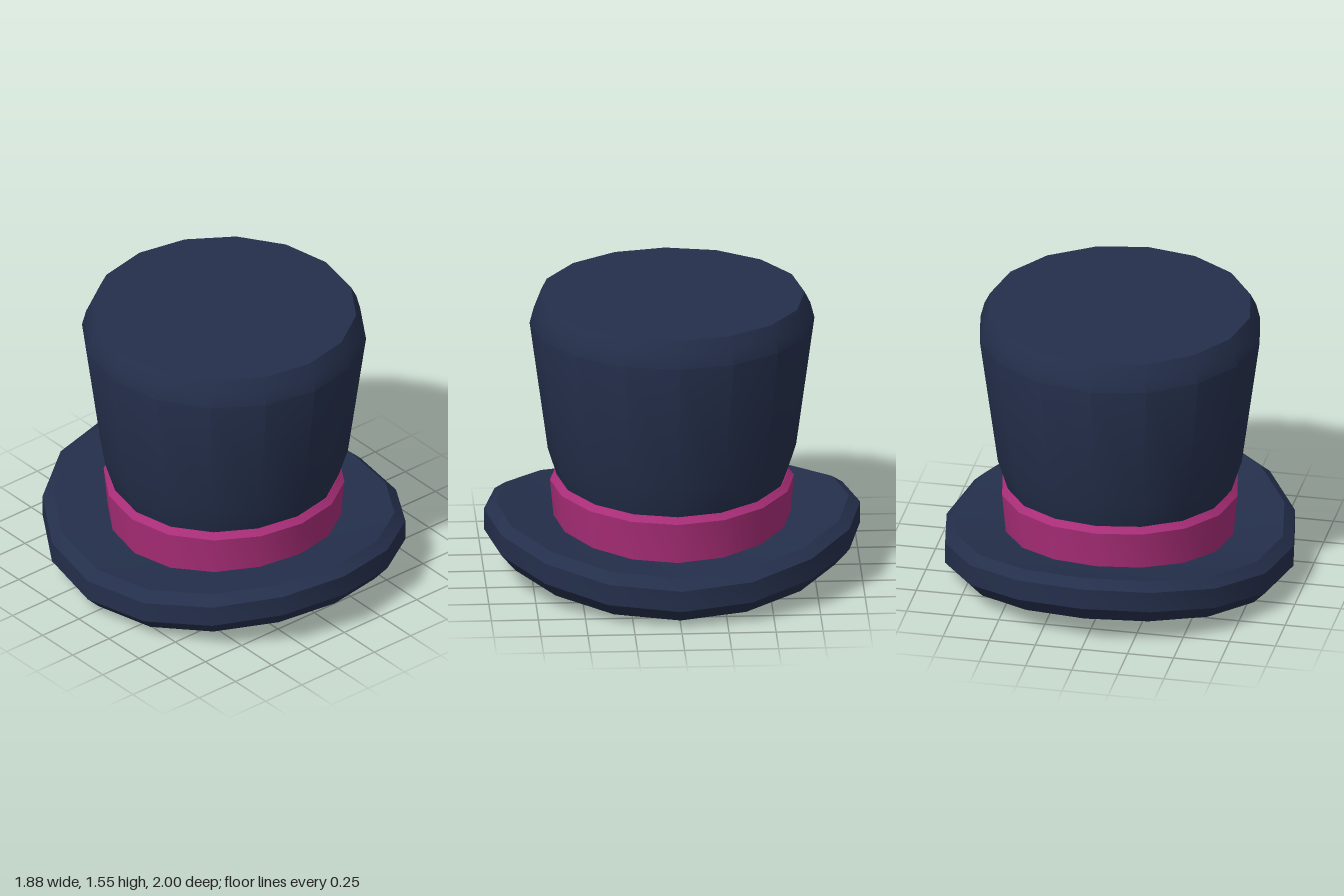
import * as THREE from 'three';
import { toCreasedNormals } from 'three/addons/utils/BufferGeometryUtils.js';

const SIDES = 16;

// Turns a profile (radius, height; bottom to top), stretches it and lifts front and back.
function turned(name, profile, material, { sx = 1, sz = 1, bend = 0 } = {}) {
  const points = profile.map(([r, y]) => new THREE.Vector2(r, y));
  const geometry = new THREE.LatheGeometry(points, SIDES);
  const p = geometry.attributes.position;
  for (let i = 0; i < p.count; i++) {
    const z = p.getZ(i) * sz;
    p.setXYZ(i, p.getX(i) * sx, p.getY(i) + bend * z * z, z);
  }
  const mesh = new THREE.Mesh(toCreasedNormals(geometry, 0.5), material);
  mesh.name = name;
  return mesh;
}

export function createModel() {
  const felt = new THREE.MeshStandardMaterial({ color: 0x242f4b });
  felt.name = 'navy felt';
  const ribbon = new THREE.MeshStandardMaterial({ color: 0xa82d77 });
  ribbon.name = 'magenta ribbon';

  const hat = new THREE.Group();
  hat.name = 'topHat';

  // Thick oval brim, curling up at front and back
  hat.add(turned('brim', [
    [0, 0], [0.4, 0], [0.74, 0], [0.92, 0.025], [1, 0.1],
    [1, 0.215], [0.94, 0.27], [0.62, 0.255], [0, 0.25],
  ], felt, { sx: 0.94, bend: 0.14 }));

  // Ribbon band following the curve of the brim
  hat.add(turned('band', [
    [0.61, 0.2], [0.636, 0.48], [0.605, 0.512], [0.55, 0.512],
  ], ribbon, { sz: 1.02, bend: 0.08 }));

  // Flared crown with a bevelled top edge
  hat.add(turned('crown', [
    [0.57, 0.42], [0.603, 0.51], [0.66, 0.69], [0.757, 1.405],
    [0.735, 1.49], [0.705, 1.55], [0, 1.553],
  ], felt));

  return hat;
}
